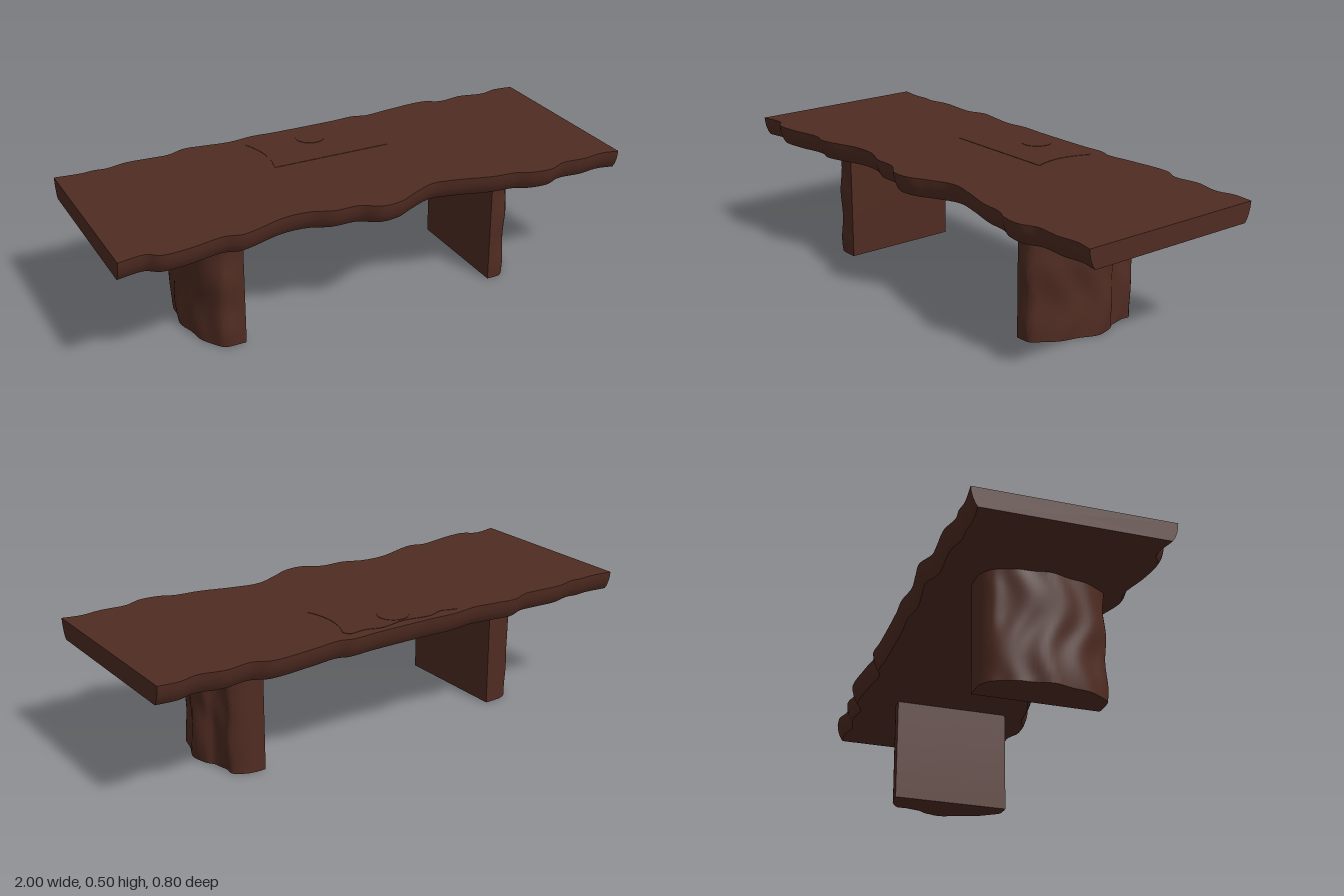
import * as THREE from 'three';
import { toCreasedNormals } from 'three/addons/utils/BufferGeometryUtils.js';

// Skin a list of equal-length rings (counter-clockwise seen from the last ring) and close both ends.
function loft(rings, crease = 0.6) {
  const pos = [];
  const tri = (...pts) => pts.forEach((p) => pos.push(p.x, p.y, p.z));
  const n = rings[0].length;
  const center = (ring) => ring.reduce((c, p) => c.add(p), new THREE.Vector3()).divideScalar(n);
  const first = rings[0], last = rings[rings.length - 1];
  const c0 = center(first), c1 = center(last);
  for (let j = 0; j < n; j++) {
    const k = (j + 1) % n;
    for (let i = 0; i < rings.length - 1; i++) {
      const a = rings[i], b = rings[i + 1];
      tri(a[j], a[k], b[k]);
      tri(a[j], b[k], b[j]);
    }
    tri(c0, first[k], first[j]);
    tri(c1, last[j], last[k]);
  }
  const geometry = new THREE.BufferGeometry();
  geometry.setAttribute('position', new THREE.Float32BufferAttribute(pos, 3));
  return toCreasedNormals(geometry, crease);
}

// Smooth interpolation of [x, value] pairs.
function edgeAt(points, x) {
  let i = 0;
  while (i < points.length - 2 && x > points[i + 1][0]) i++;
  const p = (k) => points[Math.min(Math.max(k, 0), points.length - 1)];
  const [x0, v0] = p(i), [x1, v1] = p(i + 1);
  const slope = (k) => (p(k + 1)[1] - p(k - 1)[1]) / (p(k + 1)[0] - p(k - 1)[0]);
  const h = x1 - x0, t = (x - x0) / h, t2 = t * t, t3 = t2 * t;
  return (2 * t3 - 3 * t2 + 1) * v0 + (t3 - 2 * t2 + t) * h * slope(i)
    + (3 * t2 - 2 * t3) * v1 + (t3 - t2) * h * slope(i + 1);
}

// Live edges of the slab
const FRONT = [[-1, 0.36], [-0.9, 0.345], [-0.85, 0.375], [-0.75, 0.37], [-0.62, 0.345], [-0.55, 0.36],
  [-0.38, 0.31], [-0.28, 0.31], [-0.2, 0.34], [-0.1, 0.345], [-0.03, 0.385], [0.05, 0.38], [0.12, 0.345],
  [0.22, 0.305], [0.32, 0.32], [0.45, 0.355], [0.55, 0.367], [0.6, 0.39], [0.68, 0.397], [0.75, 0.37],
  [0.85, 0.375], [0.93, 0.365], [1, 0.378]];
const BACK = [[-1, 0.37], [-0.9, 0.36], [-0.85, 0.365], [-0.8, 0.36], [-0.72, 0.378], [-0.6, 0.372],
  [-0.55, 0.372], [-0.48, 0.398], [-0.4, 0.39], [-0.3, 0.378], [-0.2, 0.39], [-0.1, 0.385], [0.15, 0.385],
  [0.25, 0.39], [0.3, 0.375], [0.4, 0.387], [0.58, 0.4], [0.65, 0.37], [0.75, 0.382], [0.85, 0.363],
  [0.92, 0.38], [1, 0.373]];

function slabGeometry() {
  // Rounded-under edge: [height, inset]
  const edge = [[0.5, 0], [0.48, 0.002], [0.46, 0.007], [0.44, 0.015], [0.425, 0.025]];
  const rings = [];
  for (let i = 0; i <= 160; i++) {
    const x = -1 + i / 80;
    const f = edgeAt(FRONT, x), b = edgeAt(BACK, x);
    rings.push([
      ...edge.map(([y, inset]) => new THREE.Vector3(x, y, f - inset)),
      ...[...edge].reverse().map(([y, inset]) => new THREE.Vector3(x, y, inset - b)),
    ]);
  }
  return loft(rings, 0.7);
}

// Half-log leg: flat inner face, wavy bark outside. Profile is [z, depth].
function legGeometry(side, profile) {
  const bark = new THREE.CatmullRomCurve3(profile.map(([z, d]) => new THREE.Vector3(d, 0, z)), false, 'centripetal')
    .getPoints(56);
  const rings = [];
  for (let i = 0; i <= 24; i++) {
    const y = 0.43 * i / 24;
    const ring = bark.map((p, j) => {
      const fade = Math.sin(Math.PI * j / (bark.length - 1));
      const depth = p.x + fade * (0.004 * Math.sin(48 * p.z + 2 * Math.sin(15 * y)) + 0.003 * Math.sin(22 * y + 9 * p.z));
      const z = p.z + 0.004 * Math.sin(31 * y) * Math.max(0, p.z / 0.255) * Math.min(1, p.x / 0.05);
      return new THREE.Vector3(side * (0.515 + Math.min(depth, 0.172)), y, z);
    });
    rings.push(side > 0 ? ring : ring.reverse());
  }
  return loft(rings, 0.75);
}

// Thin flat panel lying on the slab
function panelGeometry(shape, thickness) {
  return new THREE.ExtrudeGeometry(shape, { depth: thickness, bevelEnabled: false, curveSegments: 12 })
    .rotateX(-Math.PI / 2);
}

export function createModel() {
  const wood = new THREE.MeshStandardMaterial({ color: 0x502c22 });
  wood.name = 'dark brown wood';
  const model = new THREE.Group();
  model.name = 'liveEdgeTable';
  const add = (name, geometry, y = 0) => {
    const mesh = new THREE.Mesh(geometry, wood);
    mesh.name = name;
    mesh.position.y = y;
    model.add(mesh);
  };

  add('tableTop', slabGeometry());

  add('leftLeg', legGeometry(1, [[0.255, 0], [0.255, 0.03], [0.25, 0.06], [0.21, 0.09], [0.14, 0.125], [0.08, 0.145],
    [0, 0.166], [-0.05, 0.155], [-0.08, 0.13], [-0.14, 0.12], [-0.175, 0.122], [-0.205, 0.08], [-0.215, 0.04], [-0.215, 0]]));
  add('rightLeg', legGeometry(-1, [[0.255, 0], [0.256, 0.04], [0.25, 0.085], [0.19, 0.125], [0.11, 0.15], [0.01, 0.166],
    [-0.07, 0.155], [-0.13, 0.142], [-0.18, 0.125], [-0.21, 0.08], [-0.215, 0.04], [-0.215, 0]]));

  // Shallow inlay near the back edge: shape y runs towards the back
  const inlay = new THREE.Shape();
  inlay.moveTo(-0.24, 0.08);
  inlay.lineTo(0.24, 0.08);
  inlay.quadraticCurveTo(0.19, 0.2, 0.25, 0.32);
  inlay.splineThru([[0.23, 0.345], [0.17, 0.34], [0.1, 0.358], [0, 0.342], [-0.1, 0.358], [-0.17, 0.34],
    [-0.23, 0.355], [-0.255, 0.32]].map(([x, y]) => new THREE.Vector2(x, y)));
  inlay.quadraticCurveTo(-0.2, 0.2, -0.24, 0.08);
  add('inlayPanel', panelGeometry(inlay, 0.0015), 0.5);

  // Round inlay disc
  const disc = new THREE.CylinderGeometry(0.058, 0.058, 0.002, 40);
  disc.translate(0, 0.001, -0.275);
  add('inlayDisc', disc, 0.501);

  return model;
}
